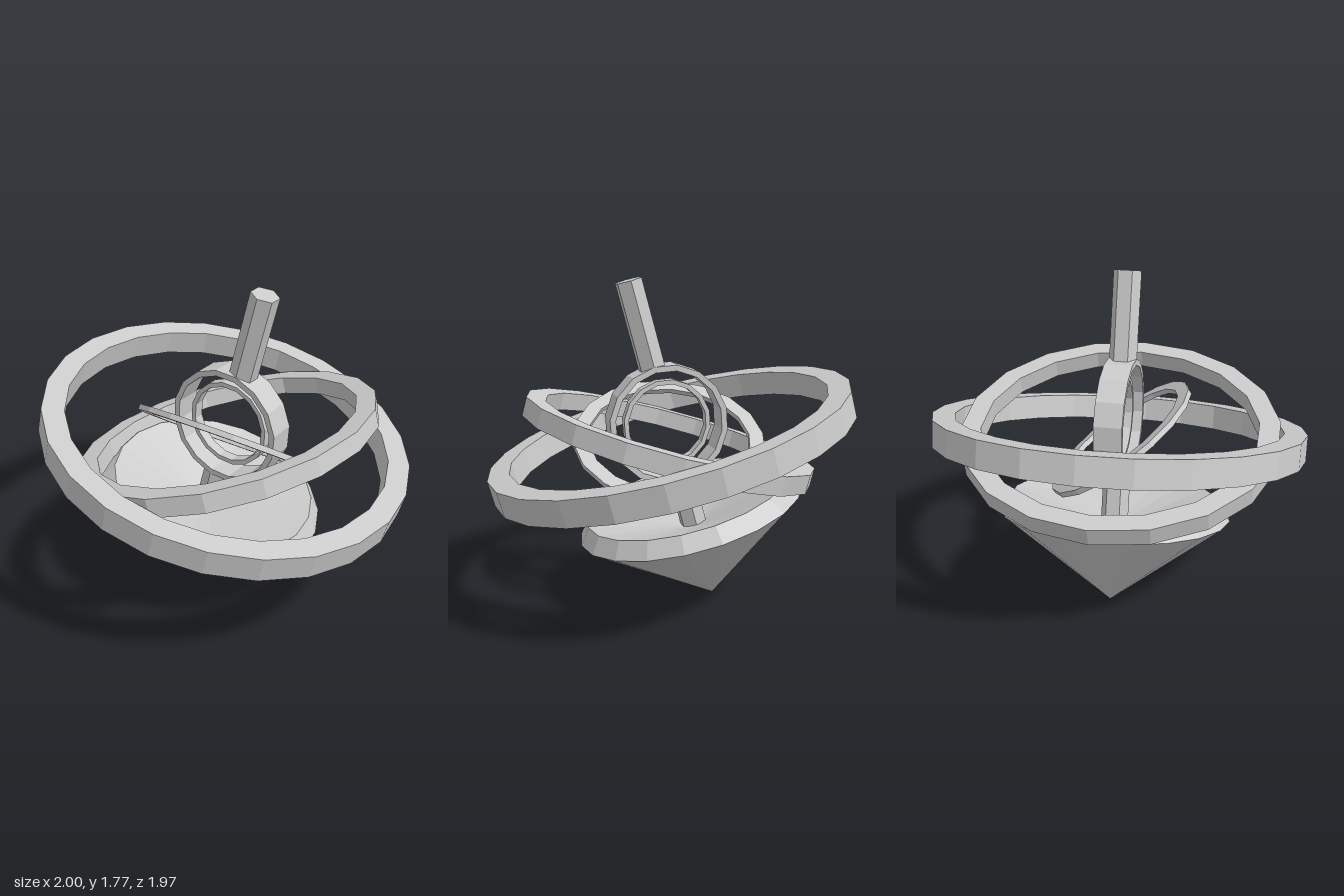
import * as THREE from 'three';

const material = new THREE.MeshStandardMaterial({ color: 0xcccccc, flatShading: true });
const TILT = THREE.MathUtils.degToRad(15);

function add(parent, geometry, name) {
  const mesh = new THREE.Mesh(geometry, material);
  mesh.name = name;
  parent.add(mesh);
  return mesh;
}

// Flat-sided ring around the y axis
function ring(outer, inner, height, sides) {
  const h = height / 2;
  const profile = [[inner, -h], [outer, -h], [outer, h], [inner, h], [inner, -h]];
  return new THREE.LatheGeometry(profile.map(([r, y]) => new THREE.Vector2(r, y)), sides);
}

// Hexagonal rod along y between two heights
function rod(radius, from, to) {
  return new THREE.CylinderGeometry(radius, radius, to - from, 6)
    .rotateY(Math.PI / 6)
    .translate(0, (from + to) / 2, 0);
}

export function createModel() {
  const model = new THREE.Group();
  model.name = 'gyroscope';

  // Leaning assembly, pivoting on the cone tip
  const top = new THREE.Group();
  top.name = 'spinningTop';
  top.position.z = -0.243;
  top.rotation.x = TILT;
  model.add(top);

  // Cone base with a bevelled rim and shallow dish
  const cone = [[0, 0], [0.63, 0.517], [0.565, 0.6], [0, 0.42]];
  add(top, new THREE.LatheGeometry(cone.map(([r, y]) => new THREE.Vector2(r, y)), 20), 'coneBase');

  // Stem and handle, broken by the upright band
  add(top, rod(0.075, 0.4, 0.73), 'lowerStem');
  add(top, rod(0.075, 1.33, 1.815), 'handle');

  // Upright band and the narrow hoop inside it
  const band = add(top, ring(0.325, 0.293, 0.15, 16), 'uprightBand');
  const hoop = add(top, ring(0.24, 0.215, 0.06, 16), 'innerHoop');
  for (const mesh of [band, hoop]) {
    mesh.position.y = 1.028;
    mesh.rotation.z = Math.PI / 2;
  }

  // Large outer ring, square to the axis
  add(top, ring(1, 0.88, 0.14, 24), 'outerRing').position.y = 0.95;

  // Middle ring, leaning the opposite way
  const middle = add(model, ring(1, 0.87, 0.1, 18), 'middleRing');
  middle.scale.set(0.868, 1, 0.793);
  middle.position.set(0, 0.912, 0.015);
  middle.rotation.x = -TILT;

  // Thin oval ring, slanted sideways
  const slanted = add(model, ring(1, 0.845, 0.03, 18), 'slantedRing');
  slanted.scale.set(0.445, 1, 0.53);
  slanted.position.set(-0.012, 0.895, 0);
  slanted.rotation.z = THREE.MathUtils.degToRad(-36);

  return model;
}
